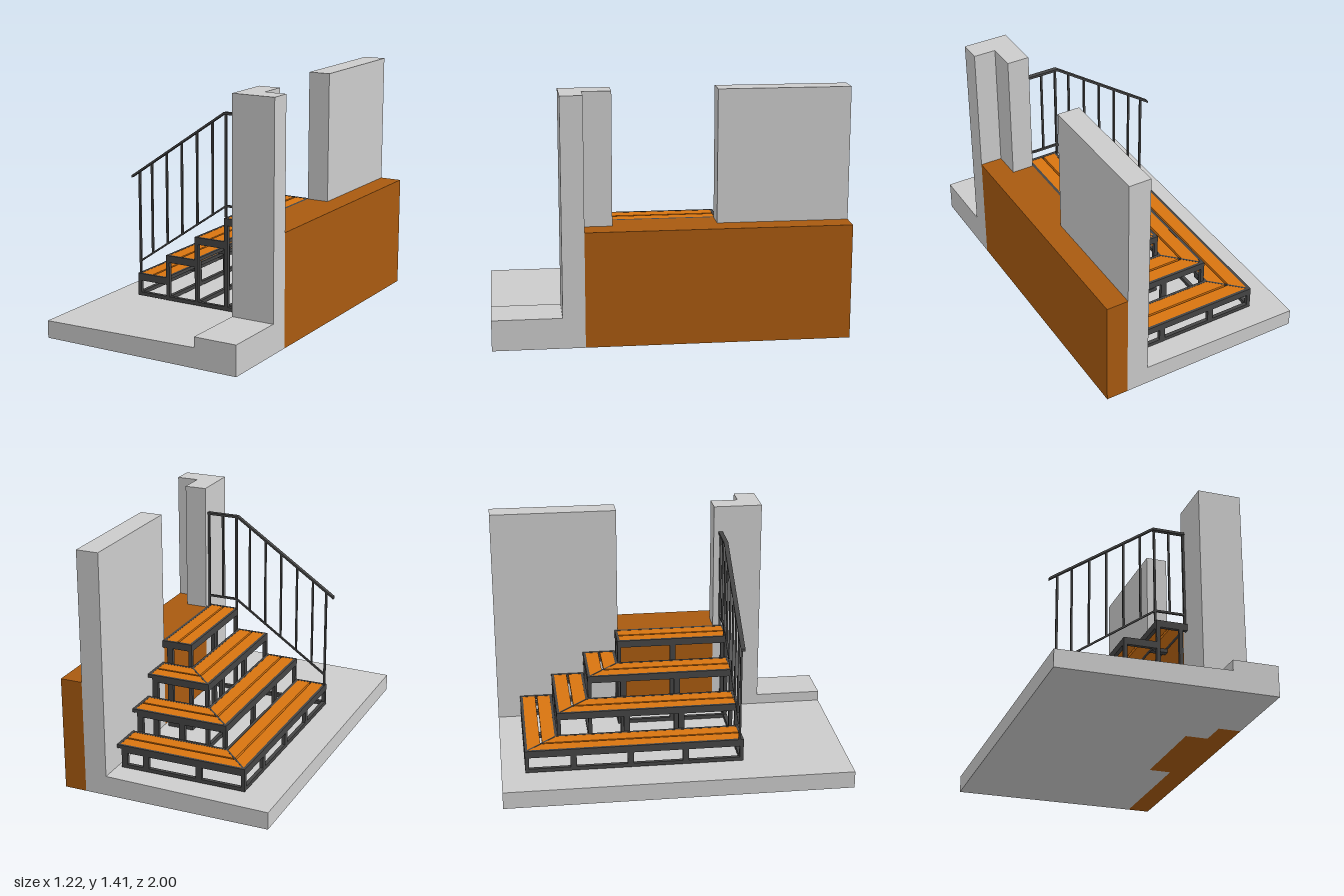
import * as THREE from 'three';

const grey = new THREE.MeshStandardMaterial({ color: 0xcccccc });
const earth = new THREE.MeshStandardMaterial({ color: 0xa85a10 });
const wood = new THREE.MeshStandardMaterial({ color: 0xd87410 });
const steel = new THREE.MeshStandardMaterial({ color: 0x454545 });

const RIGHT = 0.353, FRAME_RIGHT = 0.325, FRONT = 0.387, BASE = 0.117;
const TREAD = 0.195, BAR = 0.022, RIM = 0.016;

export function createModel() {
  const model = new THREE.Group();

  const add = (parent, name, geo, mat) => {
    const mesh = new THREE.Mesh(geo, mat);
    mesh.name = name;
    parent.add(mesh);
    return mesh;
  };
  // Box given by its limits
  const box = (parent, name, mat, x0, x1, y0, y1, z0, z1) => {
    const geo = new THREE.BoxGeometry(x1 - x0, y1 - y0, z1 - z0);
    geo.translate((x0 + x1) / 2, (y0 + y1) / 2, (z0 + z1) / 2);
    return add(parent, name, geo, mat);
  };
  // Plan outline of [x, z] points, raised from y0 to y1
  const plan = (parent, name, mat, points, y0, y1) => {
    const shape = new THREE.Shape(points.map(([x, z]) => new THREE.Vector2(x, -z)));
    const geo = new THREE.ExtrudeGeometry(shape, { depth: y1 - y0, bevelEnabled: false });
    geo.rotateX(-Math.PI / 2).translate(0, y0, 0);
    return add(parent, name, geo, mat);
  };
  // Corner strip between offsets a and b from an outer corner
  const corner = (cx, cz, a, b, xEnd, zEnd) => [
    [cx + a, zEnd], [cx + a, cz + a], [xEnd, cz + a],
    [xEnd, cz + b], [cx + b, cz + b], [cx + b, zEnd],
  ];

  // Sloping ground, walls and raised floor
  const slab = new THREE.Shape([[-0.61, 0], [0.353, 0], [0.353, 0.115], [-0.61, 0.1]]
    .map(([x, y]) => new THREE.Vector2(x, y)));
  const slabGeo = new THREE.ExtrudeGeometry(slab, { depth: 2, bevelEnabled: false });
  add(model, 'ground', slabGeo.translate(0, 0, -1), grey);
  box(model, 'lowPlinth', grey, RIGHT, 0.61, 0, 0.175, 0.61, 1);
  plan(model, 'frontWall', grey, [[RIGHT, 0.61], [0.61, 0.61], [0.61, 0.485],
    [0.482, 0.485], [0.482, 0.323], [RIGHT, 0.323]], 0, 1.407);
  box(model, 'backWall', grey, RIGHT, 0.482, 0, 1.407, -1, -0.26);
  plan(model, 'raisedFloor', earth, [[0.482, 0.485], [0.61, 0.485], [0.61, -1], [0.482, -1],
    [0.482, -0.26], [RIGHT, -0.26], [RIGHT, 0.323], [0.482, 0.323]], 0, 0.655);

  // Steps wrapping around the corner: positions of the middle legs on each run
  const sideLegs = [[-0.59, -0.265, 0.053], [-0.265, 0.053], [-0.265, 0.053], [0.053]];
  const backLegs = [[-0.145, 0.175, 0.307], [0.047, 0.307], [0.307], [0.307]];
  for (let i = 0; i < 4; i++) {
    const step = new THREE.Group();
    step.name = `step${i + 1}`;
    model.add(step);
    const cx = -0.418 + TREAD * i, cz = -0.865 + TREAD * i, top = 0.25 + 0.135 * i;
    const last = i === 3;
    const under = top - 0.042, mid = top - 0.02;
    const inX = last ? RIGHT : cx + TREAD;

    // Tread boards, rim and mitre bar
    if (last) {
      const x0 = cx + RIM, x1 = RIGHT - RIM, xm = (x0 + x1) / 2;
      for (const [a, b] of [[x0, xm - 0.006], [xm + 0.006, x1]])
        box(step, 'treadBoard', wood, a, b, mid, top - 0.001, cz + RIM, FRONT - RIM);
    } else {
      for (const [a, b] of [[RIM, 0.0915], [0.1035, TREAD - RIM]])
        plan(step, 'treadBoard', wood, corner(cx, cz, a, b, RIGHT - RIM, FRONT - RIM), mid, top - 0.001);
      plan(step, 'innerRim', steel,
        corner(cx, cz, TREAD - RIM, TREAD, RIGHT - RIM, FRONT - RIM), mid, top);
      const mitre = box(step, 'mitreBar', steel, -0.125, 0.125, mid, top - 0.0002, -0.005, 0.005);
      mitre.position.set(cx + TREAD / 2, 0, cz + TREAD / 2);
      mitre.rotation.y = -Math.PI / 4;
    }
    plan(step, 'outerRim', steel, corner(cx, cz, 0, RIM, RIGHT - RIM, FRONT - RIM), mid, top);
    box(step, 'frontRim', steel, cx, inX, mid, top, FRONT - RIM, FRONT);
    box(step, 'rightRim', steel, RIGHT - RIM, RIGHT, mid, top, cz, last ? FRONT - RIM : cz + TREAD);

    // Carrying frame and base rail
    const end = last ? RIGHT : FRAME_RIGHT;
    plan(step, 'carryingFrame', steel, corner(cx, cz, 0, BAR, end, FRONT - BAR), under, mid);
    box(step, 'frontFrameBar', steel, cx, inX, under, mid, FRONT - BAR, FRONT);
    plan(step, 'baseRail', steel, corner(cx, cz, 0, BAR, FRAME_RIGHT, FRONT - BAR), BASE, BASE + BAR);

    // Legs and cross bars
    const leg = (x0, x1, z0, z1) => box(step, 'leg', steel, x0, x1, BASE + BAR, under, z0, z1);
    leg(cx, cx + BAR, cz, cz + BAR);
    leg(cx, cx + BAR, FRONT - BAR, FRONT);
    for (const z of sideLegs[i]) {
      leg(cx, cx + BAR, z - 0.0175, z + 0.0175);
      box(step, 'crossBar', steel, cx + BAR, inX, under, mid, z - 0.0175, z + 0.0175);
    }
    for (const x of backLegs[i]) {
      leg(x - 0.0175, x + 0.0175, cz, cz + BAR);
      if (!last) box(step, 'crossBar', steel, x - 0.0175, x + 0.0175, under, mid, cz + BAR, cz + TREAD);
    }
    if (last) leg(FRAME_RIGHT - BAR, FRAME_RIGHT, FRONT - BAR, FRONT);
  }
  box(model, 'frontBaseRail', steel, -0.418, FRAME_RIGHT, BASE, BASE + BAR, FRONT - BAR, FRONT);

  // Railing along the open front end
  const railing = new THREE.Group();
  railing.name = 'railing';
  model.add(railing);
  const z = 0.364;
  // Bent rail: a path of [x, y] points with a given thickness below it
  const rail = (name, pts, thick, depth) => {
    const outline = [...pts, ...pts.map(([x, y]) => [x, y - thick]).reverse()];
    const shape = new THREE.Shape(outline.map(([x, y]) => new THREE.Vector2(x, y)));
    const geo = new THREE.ExtrudeGeometry(shape, { depth, bevelEnabled: false });
    add(railing, name, geo.translate(0, 0, z - depth / 2), steel);
  };
  rail('handrail', [[-0.46, 0.828], [0.158, 1.252], [RIGHT, 1.252]], 0.014, 0.026);
  rail('lowerRail', [[-0.418, 0.321], [0.168, 0.727], [RIGHT, 0.727]], 0.012, 0.012);
  const post = (name, x, y0, y1, w) =>
    box(railing, name, steel, x - w / 2, x + w / 2, y0, y1, z - w / 2, z + w / 2);
  const slope = (x) => 0.69 * (x + 0.418);
  post('endPost', -0.412, 0.25, 0.848, 0.012);
  post('cornerPost', 0.168, 0.655, 1.245, 0.012);
  post('wallPost', 0.347, 0.655, 1.245, 0.012);
  post('baluster', 0.257, 0.72, 1.245, 0.011);
  for (let k = 0; k < 5; k++) {
    const x = -0.327 + 0.1018 * k;
    post('baluster', x, 0.313 + slope(x), 0.847 + slope(x), 0.011);
  }
  return model;
}
